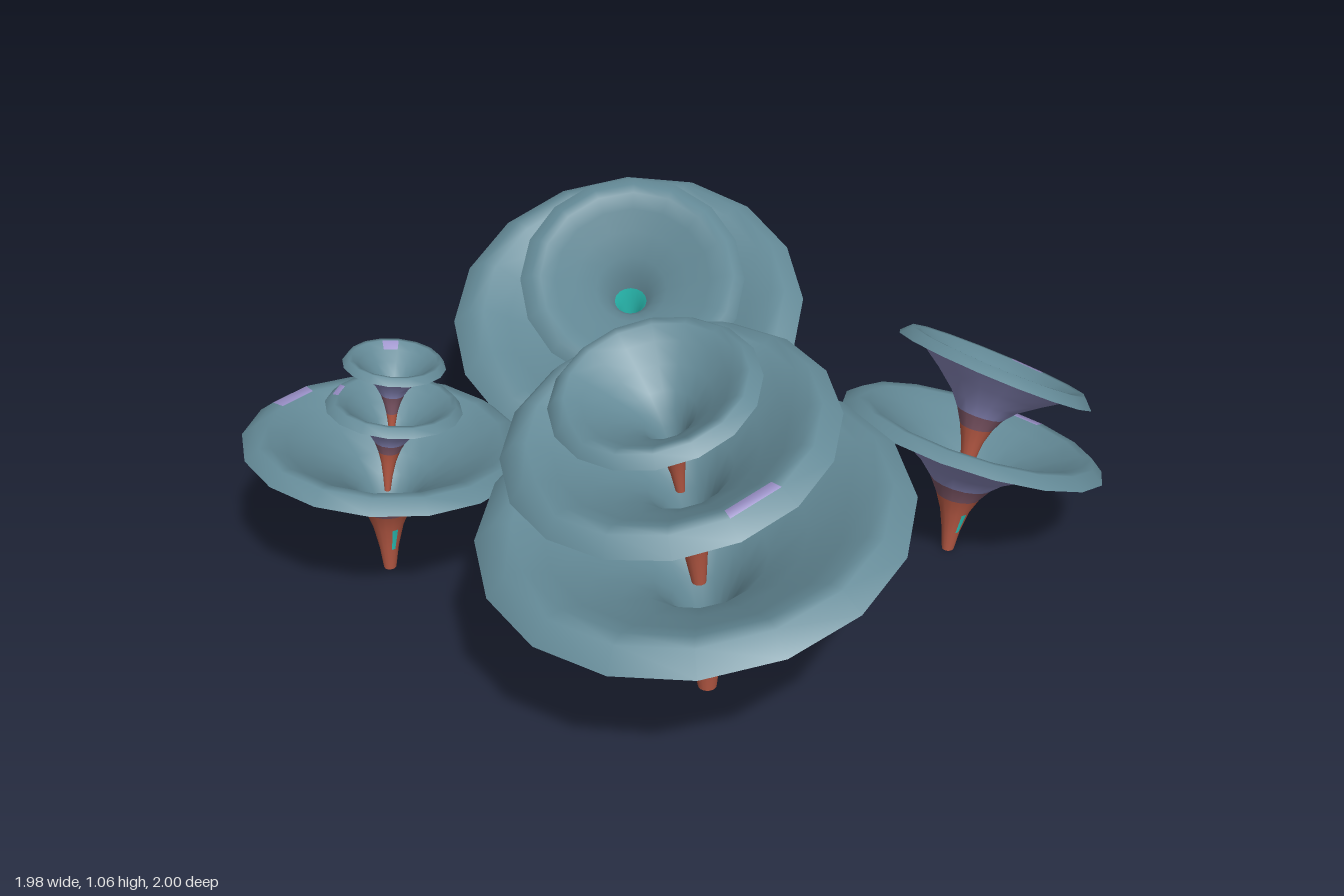
import * as THREE from 'three';

const SIDES = 16;
const mat = (name, color) => {
  const m = new THREE.MeshStandardMaterial({ color });
  m.name = name;
  return m;
};
const red = mat('stemRed', 0xb85a45), plum = mat('fadedPlum', 0x805868);
const purple = mat('undersidePurple', 0x8a89bc), blue = mat('rimBlue', 0x5468ad);
const teal = mat('capTeal', 0x648a97), glow = mat('glowTurquoise', 0x2cc7bc);
const lavender = mat('spotLavender', 0x9a90c8);

// Trumpet profile: radius as a share of the rim, height as a share of the length
const OUTER = [[0.045, 0], [0.07, 0.17], [0.11, 0.34], [0.165, 0.47], [0.235, 0.58], [0.34, 0.685],
  [0.53, 0.805], [0.71, 0.905], [0.84, 0.98], [0.92, 0.985], [1, 0.94]];
// The upper skin lies just inside and above it and meets it at the rim
const INNER = OUTER.map(([r, t]) => (r < 1 ? [r - 0.02, t + 0.035] : [r, t]));

// Surface point of one funnel: the axis bends from the base to the rim centre while rings tilt
function ringPoint(f, r, t, angle) {
  const up = new THREE.Vector3(0, 1, 0);
  const normal = new THREE.Vector3(-f.slopeX, 1, -(f.slopeZ || 0)).normalize();
  const full = new THREE.Quaternion().setFromUnitVectors(up, normal);
  const tilt = new THREE.Quaternion().slerp(full, THREE.MathUtils.smoothstep(t, 0.1, 0.8));
  const length = f.base.distanceTo(f.rim);
  const bend = f.base.clone().lerp(f.rim, 0.25).addScaledVector(up, length * 0.25);
  const axis = new THREE.QuadraticBezierCurve3(f.base, bend, f.rim).getPoint(Math.min(t, 1));
  if (t > 1) axis.addScaledVector(normal, (t - 1) * length);
  return new THREE.Vector3(Math.cos(angle), 0, Math.sin(angle))
    .multiplyScalar(r * f.radius).applyQuaternion(tilt).add(axis);
}

// Skin through the rings; paint(i, j) picks the material of each face
function funnelSkin(name, f, profile, inward, paint) {
  const positions = [], faces = new Map();
  for (const [r, t] of profile) {
    for (let j = 0; j < SIDES; j++) {
      positions.push(...ringPoint(f, r, t, (j / SIDES) * Math.PI * 2).toArray());
    }
  }
  for (let i = 0; i < profile.length - 1; i++) {
    for (let j = 0; j < SIDES; j++) {
      const k = (j + 1) % SIDES;
      const a = i * SIDES + j, b = i * SIDES + k, c = a + SIDES, d = b + SIDES;
      const material = paint(i, j);
      if (!faces.has(material)) faces.set(material, []);
      faces.get(material).push(...(inward ? [a, b, c, b, d, c] : [a, c, b, b, c, d]));
    }
  }
  const geometry = new THREE.BufferGeometry();
  geometry.setAttribute('position', new THREE.Float32BufferAttribute(positions, 3));
  geometry.setIndex([...faces.values()].flat());
  let start = 0;
  [...faces.values()].forEach((list, m) => {
    geometry.addGroup(start, list.length, m);
    start += list.length;
  });
  geometry.computeVertexNormals();
  const mesh = new THREE.Mesh(geometry, [...faces.keys()]);
  mesh.name = name;
  return mesh;
}

const at = (x, y, z) => new THREE.Vector3(x, y, z);
const isIn = (spots, i, j) => (spots || []).some(([a, b]) => a === i && b === j);

// A plant is a stack of funnels, widest first; each one grows out of the throat of the one below.
// throat: lit rings inside; blueFrom: first side of a blue edge underneath; spots: [ring, side]
function makePlant(name, base, tiers) {
  const group = new THREE.Group();
  group.name = name;
  tiers.forEach((tier, n) => {
    const below = tiers[n - 1];
    const f = tier;
    f.base = below ? below.base.clone().lerp(below.rim, tier.nest || 0.6) : base;
    const redRings = n === 2 ? 2 : 3;
    group.add(
      // Stem and underside: red below, a plum band, purple above
      funnelSkin(`stemAndUnderside${n + 1}`, f, OUTER, false, (i, j) => {
        if (isIn(f.glowSpots, i, j)) return glow;
        if (i > 7 && j >= f.blueFrom && j < f.blueFrom + 4) return blue;
        return i < redRings ? red : i < 4 ? plum : purple;
      }),
      // Upper side of the cap with its throat and rolled lip
      funnelSkin(`capTop${n + 1}`, f, INNER, true, (i, j) => {
        if (isIn(f.lipSpots, i, j)) return lavender;
        if (f.throat) return i < f.throat ? glow : teal;
        return i < 2 ? red : teal;
      }));
  });
  return group;
}

export function createModel() {
  const model = new THREE.Group();
  model.name = 'funnelPlants';
  model.add(
    makePlant('tallPlant', at(-0.35, 0, 0.445), [
      { rim: at(-0.4, 0.59, 0.44), radius: 0.56, slopeX: 0.18, blueFrom: 0 },
      { rim: at(-0.47, 0.855, 0.42), radius: 0.425, slopeX: 0.24, lipSpots: [[8, 4]], glowSpots: [[2, 10]] },
      { rim: at(-0.51, 0.985, 0.41), radius: 0.265, slopeX: 0.28, throat: 2 },
    ]),
    makePlant('smallPlant', at(-0.62, 0.02, -0.535), [
      { rim: at(-0.605, 0.445, -0.53), radius: 0.39, slopeX: -0.13, blueFrom: 9,
        lipSpots: [[8, 11]], glowSpots: [[1, 4]] },
      { rim: at(-0.555, 0.53, -0.545), radius: 0.187, slopeX: -0.16, lipSpots: [[8, 10]] },
      { rim: at(-0.53, 0.645, -0.565), radius: 0.14, slopeX: -0.16, throat: 2, lipSpots: [[7, 13]] },
    ]),
    makePlant('widePlant', at(0.335, 0.02, -0.525), [
      { rim: at(0.275, 0.52, -0.5), radius: 0.51, slopeX: 0.35, slopeZ: -0.22, blueFrom: 7,
        glowSpots: [[1, 4], [1, 0]] },
      { rim: at(0.165, 0.705, -0.36), radius: 0.315, slopeX: 0.53, slopeZ: -0.53, nest: 0.75, throat: 3,
        glowSpots: [[2, 1], [2, 10]] },
    ]),
    makePlant('leaningPlant', at(0.575, 0, 0.495), [
      { rim: at(0.64, 0.375, 0.51), radius: 0.38, slopeX: -0.42, lipSpots: [[8, 15]],
        glowSpots: [[1, 4], [1, 14]] },
      { rim: at(0.72, 0.56, 0.51), radius: 0.288, slopeX: -0.62, throat: 3, lipSpots: [[8, 15]],
        glowSpots: [[2, 2]] },
    ]));
  return model;
}
